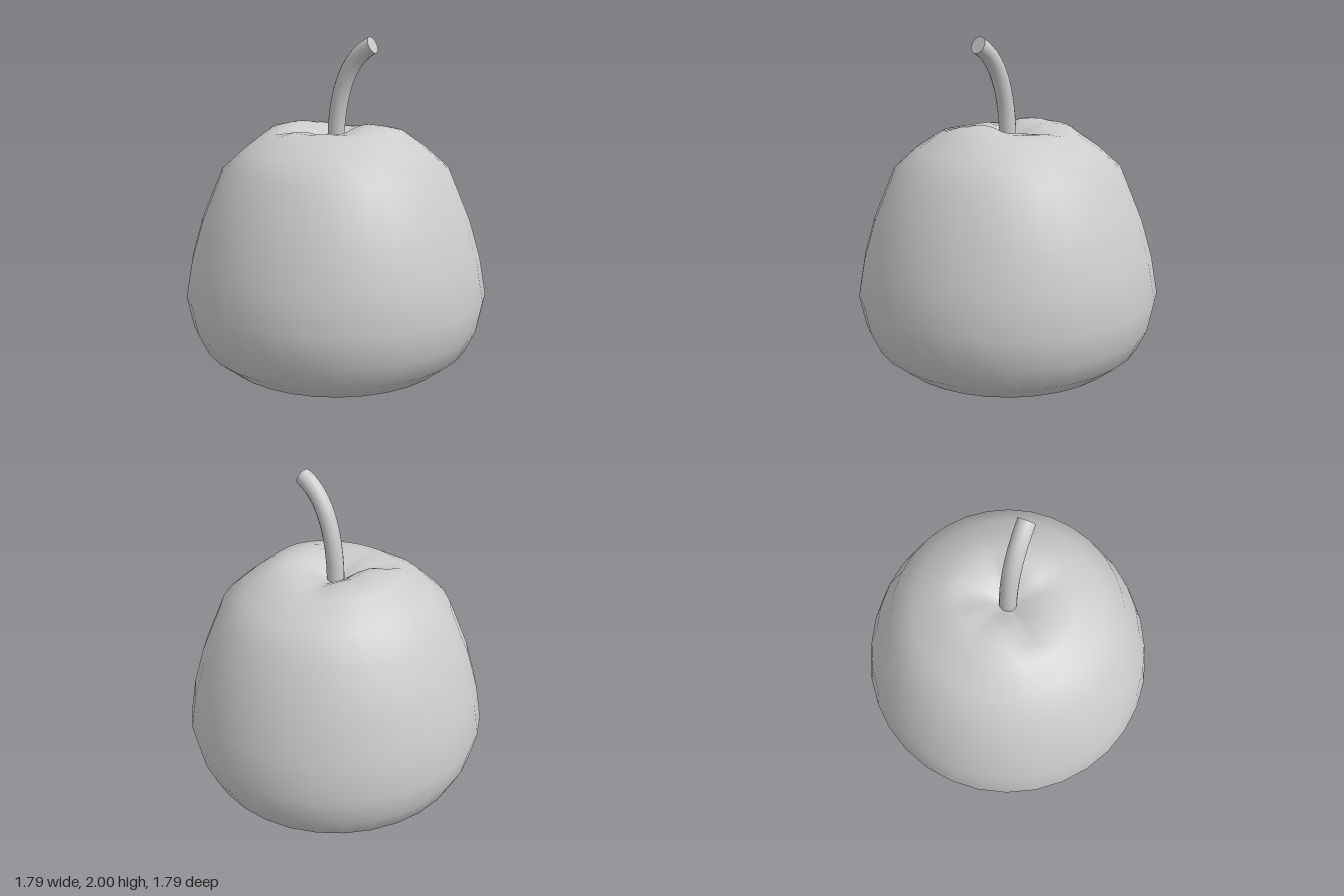
import * as THREE from 'three';
import { mergeVertices } from 'three/addons/utils/BufferGeometryUtils.js';

const SEGMENTS = 32;
const material = new THREE.MeshStandardMaterial({ color: 0xcccccc });
const points = (list) => list.map(([x, y]) => new THREE.Vector2(x, y));

// Creases fanning out from the stem: [angle from +z towards +x, depth, half width]
const CREASES = [
  [-0.75, 0.04, 0.2], [0.75, 0.018, 0.25], [2.25, 0.018, 0.25],
  [-2.85, 0.018, 0.25], [-1.9, 0.01, 0.2],
];

// Lifts two side lobes and presses creases into the crown
function crownOffset(angle, r) {
  const ring = Math.exp(-(((r - 0.22) / 0.12) ** 2));
  let y = -0.025 * Math.cos(2 * angle) * ring;
  if (r > 0.3) y -= 0.012 * Math.cos(2 * angle);
  for (const [a, depth, width] of CREASES) {
    const d = Math.atan2(Math.sin(angle - a), Math.cos(angle - a));
    y -= depth * ring * Math.exp(-((d / width) ** 2));
  }
  return y;
}

function createBody() {
  const profile = points([
    [0.53, 0.03], [0.68, 0.1], [0.8, 0.2], [0.86, 0.33], [0.895, 0.51],
    [0.855, 0.73], [0.79, 0.95], [0.668, 1.24], [0.535, 1.36], [0.385, 1.462],
    [0.29, 1.482], [0.2, 1.483], [0.12, 1.448], [0.06, 1.41], [0, 1.385],
  ]);
  let geometry = new THREE.LatheGeometry(profile, SEGMENTS);
  const p = geometry.attributes.position;
  for (let i = 0; i < p.count; i++) {
    const x = p.getX(i), z = p.getZ(i), r = Math.hypot(x, z);
    if (p.getY(i) > 1.4 && r > 0.03) {
      p.setY(i, p.getY(i) + crownOffset(Math.atan2(x, z), r));
    }
  }
  // Weld the seam so the shading is smooth all round
  geometry.deleteAttribute('uv');
  geometry.deleteAttribute('normal');
  geometry = mergeVertices(geometry, 1e-4);
  geometry.computeVertexNormals();
  const body = new THREE.Mesh(geometry, material);
  body.name = 'fruitBody';
  return body;
}

// Shallow underside, meeting the body at a hard edge
function createBase() {
  const base = new THREE.Mesh(
    new THREE.LatheGeometry(points([[0, 0], [0.53, 0.03]]), SEGMENTS), material);
  base.name = 'fruitBase';
  return base;
}

// Curved stem with a flat cut end
function createStem() {
  const radius = 0.05;
  const curve = new THREE.CubicBezierCurve3(
    new THREE.Vector3(0, 1.37, 0), new THREE.Vector3(0, 1.65, 0),
    new THREE.Vector3(0.07, 1.88, 0), new THREE.Vector3(0.24, 1.952, 0));
  const stem = new THREE.Group();
  stem.name = 'stem';
  const stalk = new THREE.Mesh(new THREE.TubeGeometry(curve, 12, radius, 16), material);
  stalk.name = 'stalk';
  const cut = new THREE.Mesh(new THREE.CircleGeometry(radius, 16), material);
  cut.name = 'stalkEnd';
  cut.position.copy(curve.getPoint(1));
  cut.quaternion.setFromUnitVectors(new THREE.Vector3(0, 0, 1), curve.getTangent(1));
  stem.add(stalk, cut);
  return stem;
}

export function createModel() {
  const model = new THREE.Group();
  model.name = 'fruit';
  model.add(createBody(), createBase(), createStem());
  return model;
}
